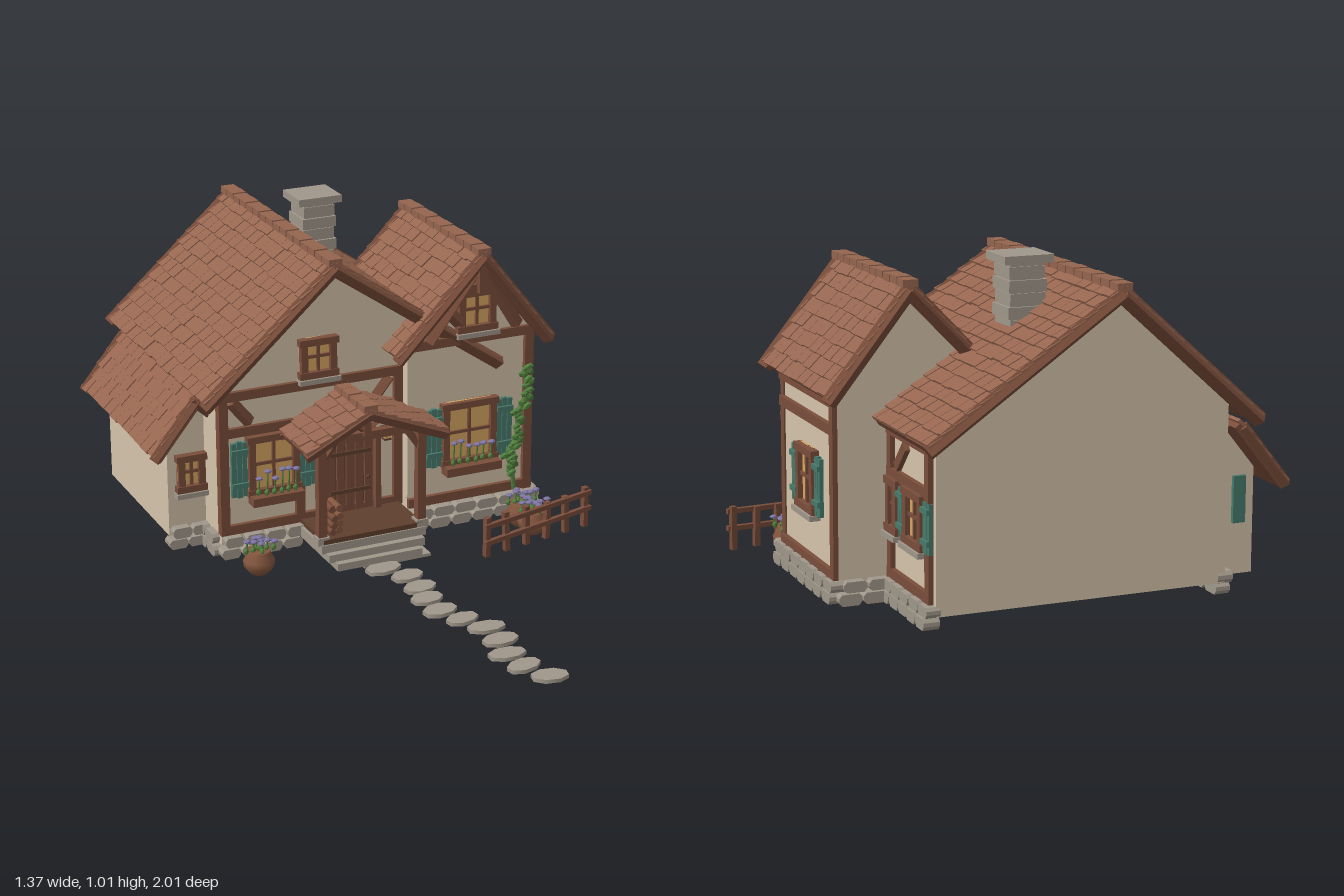
import * as THREE from 'three';
import { mergeGeometries } from 'three/addons/utils/BufferGeometryUtils.js';

const mat = (name, color) => Object.assign(new THREE.MeshStandardMaterial({ color }), { name });
const M = {
  plaster: mat('plaster', 0xd5c4aa), wood: mat('timber', 0x7a4d3a), dark: mat('darkWood', 0x5e3f2e),
  tile: mat('roofTile', 0x95654f), stone: mat('stone', 0xa0978a), teal: mat('shutterTeal', 0x477a6c),
  pane: mat('warmGlass', 0xd6a460), leaf: mat('leafGreen', 0x54823f), bloom: mat('petalPurple', 0x7d74a2),
  clay: mat('clay', 0x85573f),
};
let seed = 7;
const rnd = (a = 0, b = 1) => { seed = (seed * 16807) % 2147483647; return a + (b - a) * seed / 2147483647; };

const unitBox = new THREE.BoxGeometry(1, 1, 1);
const pebble = new THREE.IcosahedronGeometry(1, 0);
const slabStone = new THREE.CylinderGeometry(0.54, 0.54, 1, 8).rotateY(Math.PI / 8).rotateX(Math.PI / 2);
// Brick-like stone with clipped corners
const cutStone = new THREE.ExtrudeGeometry(new THREE.Shape([[-0.5, -0.15], [-0.36, -0.5], [0.36, -0.5], [0.5, -0.15],
  [0.5, 0.2], [0.38, 0.5], [-0.38, 0.5], [-0.5, 0.2]].map(q => new THREE.Vector2(...q))), { depth: 1, bevelEnabled: false }).translate(0, 0, -0.5);

function add(p, name, geo, m, pos = [0, 0, 0], scale = [1, 1, 1], rot = [0, 0, 0]) {
  const o = new THREE.Mesh(geo, m);
  o.name = name;
  o.position.set(...pos); o.scale.set(...scale); o.rotation.set(...rot);
  p.add(o);
  return o;
}
const box = (p, name, m, size, pos, rot) => add(p, name, unitBox, m, pos, size, rot);
function group(p, name, pos = [0, 0, 0], ry = 0) {
  const g = new THREE.Group();
  g.name = name; g.position.set(...pos); g.rotation.y = ry;
  p.add(g);
  return g;
}
// Square timber between two points
const Z = new THREE.Vector3(0, 0, 1);
function beam(p, a, b, w = 0.03, name = 'beam', m = M.wood) {
  const A = new THREE.Vector3(...a), B = new THREE.Vector3(...b);
  const o = box(p, name, m, [w, w, A.distanceTo(B)], A.clone().lerp(B, 0.5).toArray());
  o.quaternion.setFromUnitVectors(Z, B.sub(A).normalize());
}
// Wall block extruded from its front outline
function block(p, name, pts, z0, z1) {
  const s = new THREE.Shape(pts.map(q => new THREE.Vector2(...q)));
  add(p, name, new THREE.ExtrudeGeometry(s, { depth: z1 - z0, bevelEnabled: false }), M.plaster, [0, 0, z0]);
}

// One tiled roof slope, local +x running down from the ridge
function slope(p, name, [rx, ry], [ex, ey], z0, z1) {
  const g = group(p, name, [rx, ry, (z0 + z1) / 2]);
  const s = Math.sign(ex - rx), L = Math.hypot(ex - rx, ey - ry), D = z1 - z0;
  g.rotation.z = Math.atan2(ey - ry, ex - rx);
  box(g, 'roofBoards', M.wood, [L, 0.02, D - 0.012], [L / 2, -s * 0.016, 0]);
  const rows = Math.round(L / 0.048), rh = L / rows, cols = Math.round(D / 0.058), cw = D / cols, tiles = [];
  for (let r = 0; r < rows; r++) for (let c = 0; c <= cols; c++) {
    const shift = (r % 2) * cw / 2;
    const a = Math.max(-D / 2, -D / 2 + c * cw - shift), b = Math.min(D / 2, -D / 2 + (c + 1) * cw - shift);
    if (b - a < 0.01) continue;
    const t = new THREE.BoxGeometry(rh * 1.25, 0.01, b - a - 0.003);
    t.rotateZ(s * 0.13);
    t.translate((r + 0.38) * rh + rnd(-0.003, 0.003), s * rnd(-0.001, 0.002), (a + b) / 2);
    tiles.push(t);
  }
  add(g, 'roofTiles', mergeGeometries(tiles), M.tile);
}
function gableRoof(p, name, ridge, left, right, z0, z1, rake = 0.034) {
  const g = group(p, name);
  slope(g, 'leftSlope', ridge, left, z0, z1);
  slope(g, 'rightSlope', ridge, right, z0, z1);
  const n = Math.round((z1 - z0) / 0.055), d = (z1 - z0) / n;
  for (let i = 0; i < n; i++)
    box(g, 'ridgeCap', M.tile, [0.046, 0.022, d * 0.9], [ridge[0], ridge[1] + 0.006 + (i % 2) * 0.002, z0 + (i + 0.5) * d]);
  for (const e of [left, right]) for (const z of [z0 + 0.014, z1 - 0.014])
    beam(g, [ridge[0], ridge[1] - 0.014, z], [e[0], e[1] - 0.014, z], rake, 'rakeBeam');
}

function flowers(p, w, n, h) {
  for (let i = 0; i < n; i++) {
    const x = (i / (n - 1) - 0.5) * w, y = h * rnd(0.6, 1), z = rnd(-0.008, 0.012);
    beam(p, [x, 0, z], [x + 0.004, y, z], 0.004, 'stem', M.leaf);
    add(p, 'leafTuft', pebble, M.leaf, [x, 0.012, z], [0.009, 0.012, 0.008]);
    add(p, 'flower', pebble, M.bloom, [x + 0.004, y, z], [0.013, 0.007, 0.013]);
  }
}
// Window facing local +z, centred on its opening
function windowUnit(p, name, pos, w, h, ry = 0, { shutters = 0, planter = false } = {}) {
  const g = group(p, name, pos, ry), f = 0.022;
  box(g, 'pane', M.pane, [w, h, 0.008], [0, 0, 0.004]);
  for (const s of [-1, 1]) {
    box(g, 'frameSide', M.wood, [f, h, 0.026], [s * (w - f) / 2, 0, 0.01]);
    box(g, 'frameRail', M.wood, [w + 0.012, f, 0.03], [0, s * (h - f) / 2, 0.011]);
    if (!shutters) continue;
    const x = s * (w / 2 + shutters / 2 + 0.003);
    for (let i = 0; i < 3; i++)
      box(g, 'shutterPlank', M.teal, [shutters / 3 - 0.002, h * 0.9 + (i === 1 ? 0.008 : 0), 0.012], [x + (i - 1) * shutters / 3, -0.005, 0.01]);
    for (const y of [-1, 1]) box(g, 'shutterBatten', M.teal, [shutters, 0.016, 0.01], [x, y * h * 0.28, 0.019]);
  }
  box(g, 'mullion', M.wood, [0.01, h, 0.014], [0, 0, 0.009]);
  box(g, 'crossbar', M.wood, [w, 0.01, 0.014], [0, 0.005, 0.009]);
  if (planter) {
    box(g, 'planterBox', M.wood, [w + 0.005, 0.028, 0.045], [0, -h / 2 - 0.008, 0.035]);
    flowers(group(g, 'planterFlowers', [0, -h / 2 + 0.006, 0.036]), w * 0.72, 6, 0.085);
  } else box(g, 'sill', M.stone, [w + 0.02, 0.016, 0.035], [0, -h / 2 - 0.008, 0.016]);
}
// Two courses of rough stones along a wall foot
function footing(p, [x0, z0], [x1, z1]) {
  const L = Math.hypot(x1 - x0, z1 - z0), n = Math.max(1, Math.round(L / 0.072)), ry = -Math.atan2(z1 - z0, x1 - x0);
  for (let r = 0; r < 2; r++) for (let i = 0; i < n; i++) {
    const t = (i + 0.5 + (r ? 0.12 : -0.08)) / n;
    add(p, 'footingStone', cutStone, M.stone, [x0 + (x1 - x0) * t, 0.033 + r * 0.037, z0 + (z1 - z0) * t],
      [L / n * rnd(0.88, 0.98), rnd(0.031, 0.035), rnd(0.042, 0.05)], [0, ry, 0]);
  }
}
function pot(p, x, z) {
  const g = group(p, 'flowerPot', [x, 0, z]);
  const prof = [[0, 0.004], [0.03, 0.006], [0.048, 0.028], [0.05, 0.05], [0.036, 0.076], [0.038, 0.084], [0, 0.08]];
  add(g, 'potBody', new THREE.LatheGeometry(prof.map(q => new THREE.Vector2(...q)), 10), M.clay);
  flowers(group(g, 'potFlowers', [0, 0.076, 0]), 0.09, 5, 0.05);
  flowers(group(g, 'potFlowers', [0, 0.076, 0], Math.PI / 2), 0.06, 4, 0.045);
}

export function createModel() {
  const root = new THREE.Group();
  root.name = 'cottage';

  // Walls
  const MZ = -0.165, WZ = -0.115, AZ = -0.3, WX = 0.565, MX = 0.405, Y0 = 0.055;
  block(root, 'mainWalls', [[-0.49, Y0], [MX, Y0], [MX, 0.55], [-0.12, 0.91], [-0.49, 0.58]], -0.92, MZ);
  block(root, 'wingWalls', [[0.13, Y0], [WX, Y0], [WX, 0.64], [0.36, 0.895], [0.13, 0.65]], -0.58, WZ);
  block(root, 'annexWalls', [[-0.615, Y0], [-0.48, Y0], [-0.48, 0.5], [-0.535, 0.48], [-0.615, 0.375]], -0.85, AZ);

  // Roofs
  gableRoof(root, 'mainRoof', [-0.12, 0.945], [-0.556, 0.555], [0.455, 0.55], -1, -0.1);
  gableRoof(root, 'wingRoof', [0.365, 0.93], [0.07, 0.625], [0.608, 0.625], -0.64, -0.05);
  gableRoof(root, 'porchRoof', [-0.08, 0.52], [-0.295, 0.412], [0.185, 0.412], -0.165, 0.07, 0.026);
  const annexRoof = group(root, 'annexRoof');
  slope(annexRoof, 'annexSlope', [-0.52, 0.53], [-0.672, 0.342], -0.95, -0.25);
  for (const z of [-0.937, -0.263]) beam(annexRoof, [-0.525, 0.515, z], [-0.67, 0.334, z], 0.03, 'rakeBeam');
  beam(annexRoof, [-0.54, 0.52, -0.263], [-0.48, 0.465, -0.263], 0.026, 'rakeStub');

  // Front timber framing: x1, y1, x2, y2, z
  const frame = group(root, 'timberFrame');
  for (const [x1, y1, x2, y2, z] of [
    [-0.48, 0.09, -0.48, 0.56, MZ], [-0.48, 0.55, 0.13, 0.55, MZ], [-0.48, 0.43, 0.13, 0.43, MZ],
    [-0.48, 0.105, 0.13, 0.105, MZ], [-0.225, 0.1, -0.225, 0.43, MZ], [0.115, 0.1, 0.115, 0.55, MZ],
    [-0.45, 0.53, -0.39, 0.455, MZ], [0.09, 0.53, 0.03, 0.455, MZ],
    [0.13, 0.105, 0.56, 0.105, WZ], [0.13, 0.637, 0.57, 0.637, WZ], [0.555, 0.08, 0.555, 0.63, WZ],
    [0.365, 0.8, 0.365, 0.91, -0.07], [0.24, 0.765, 0.3, 0.7, -0.095], [0.28, 0.81, 0.45, 0.81, -0.09],
    [0.37, 0.88, 0.5, 0.67, -0.085], [0.36, 0.88, 0.19, 0.65, -0.085],
  ]) beam(frame, [x1, y1, z], [x2, y2, z]);
  // Side timber framing: x, z1, y1, z2, y2
  for (const [x, z1, y1, z2, y2] of [
    [WX, -0.565, 0.08, -0.565, 0.62], [WX, -0.115, 0.6, -0.58, 0.6], [WX, -0.115, 0.52, -0.565, 0.52],
    [WX, -0.115, 0.095, -0.565, 0.095], [MX, -0.885, 0.08, -0.885, 0.54], [MX, -0.58, 0.52, -0.9, 0.52],
    [MX, -0.58, 0.395, -0.9, 0.395], [MX, -0.58, 0.1, -0.9, 0.1], [MX, -0.65, 0.42, -0.72, 0.495], [MX, -0.6, 0.08, -0.6, 0.54],
  ]) beam(frame, [x, y1, z1], [x, y2, z2]);

  // Windows
  windowUnit(root, 'mainWindow', [-0.315, 0.31, MZ], 0.17, 0.2, 0, { shutters: 0.055, planter: true });
  windowUnit(root, 'wingWindow', [0.343, 0.322, WZ], 0.19, 0.215, 0, { shutters: 0.056, planter: true });
  windowUnit(root, 'atticWindow', [-0.16, 0.637, MZ], 0.12, 0.13);
  windowUnit(root, 'wingAtticWindow', [0.365, 0.732, WZ], 0.13, 0.14);
  windowUnit(root, 'annexWindow', [-0.54, 0.265, AZ], 0.09, 0.125);
  windowUnit(root, 'wingSideWindow', [WX, 0.335, -0.35], 0.14, 0.19, Math.PI / 2, { shutters: 0.05 });
  windowUnit(root, 'mainSideWindow', [MX, 0.305, -0.79], 0.13, 0.16, Math.PI / 2, { shutters: 0.05 });
  windowUnit(root, 'mainSideWindowNear', [MX, 0.305, -0.632], 0.08, 0.16, Math.PI / 2);
  box(root, 'annexShutter', M.teal, [0.04, 0.14, 0.014], [-0.565, 0.28, -0.855]);

  // Stone footing
  const foot = group(root, 'footing');
  for (const [a, b] of [[[-0.62, -0.295], [-0.49, -0.295]], [[-0.5, -0.155], [-0.22, -0.155]], [[0.12, -0.1], [0.585, -0.1]],
    [[0.572, -0.09], [0.572, -0.59]], [[0.57, -0.585], [0.42, -0.585]], [[0.415, -0.58], [0.415, -0.92]],
    [[-0.49, -0.17], [-0.49, -0.92]]]) footing(foot, a, b);

  // Porch
  const porch = group(root, 'porch');
  box(porch, 'deck', M.dark, [0.34, 0.016, 0.2], [-0.055, 0.092, -0.07]);
  box(porch, 'deckBase', M.stone, [0.36, 0.028, 0.2], [-0.055, 0.07, -0.065]);
  box(porch, 'middleStep', M.stone, [0.33, 0.026, 0.225], [-0.055, 0.045, -0.055]);
  box(porch, 'lowerStep', M.stone, [0.29, 0.024, 0.25], [-0.055, 0.022, -0.045]);
  box(porch, 'landing', M.stone, [0.23, 0.01, 0.09], [0.005, 0.007, 0.035]);
  for (const x of [-0.225, 0.115]) {
    box(porch, 'postBase', M.stone, [0.04, 0.025, 0.04], [x, 0.095, 0.01]);
    beam(porch, [x, 0.1, 0.01], [x, 0.42, 0.01], 0.028, 'porchPost');
    beam(porch, [x, 0.415, 0.02], [x, 0.415, MZ], 0.025, 'porchPlate');
    beam(porch, [x, 0.35, 0.01], [x + (x < 0 ? 0.05 : -0.05), 0.42, 0.01], 0.018, 'porchBrace');
  }
  beam(porch, [-0.25, 0.425, 0.015], [0.15, 0.425, 0.015], 0.026, 'porchTie');
  beam(porch, [-0.08, 0.43, 0.03], [-0.08, 0.51, 0.03], 0.024, 'porchKingPost');
  for (const s of [-1, 1]) beam(porch, [-0.08 + s * 0.01, 0.45, 0.03], [-0.08 + s * 0.06, 0.485, 0.03], 0.015, 'kingBrace');

  // Arched plank door
  const door = group(root, 'door', [-0.055, 0.1, MZ]);
  const arch = (w, top) => {
    const s = new THREE.Shape();
    s.moveTo(-w, 0); s.lineTo(w, 0); s.lineTo(w, top - w * 0.7);
    s.bezierCurveTo(w * 0.9, top, -w * 0.9, top, -w, top - w * 0.7);
    return s;
  };
  const surround = arch(0.1, 0.32);
  surround.holes.push(arch(0.082, 0.3));
  add(door, 'doorFrame', new THREE.ExtrudeGeometry(surround, { depth: 0.035, bevelEnabled: false }), M.wood);
  add(door, 'doorBack', new THREE.ExtrudeGeometry(arch(0.083, 0.301), { depth: 0.008, bevelEnabled: false }), M.dark);
  for (let i = -2; i <= 2; i++) {
    const h = 0.275 - i * i * 0.009;
    box(door, 'doorPlank', M.wood, [0.026, h, 0.01], [i * 0.032, h / 2, 0.011]);
  }
  for (const y of [0.07, 0.2]) box(door, 'doorStrap', M.dark, [0.14, 0.012, 0.006], [0, y, 0.018]);
  add(door, 'doorKnob', pebble, M.dark, [0.06, 0.11, 0.022], [0.008, 0.008, 0.008]);

  // Lantern
  const lantern = group(root, 'lantern', [0.066, 0.35, -0.135]);
  box(lantern, 'lanternGlass', M.pane, [0.02, 0.03, 0.02], [0, 0, 0]);
  box(lantern, 'lanternCap', M.dark, [0.032, 0.008, 0.032], [0, 0.019, 0]);
  box(lantern, 'lanternFoot', M.dark, [0.024, 0.006, 0.024], [0, -0.017, 0]);
  beam(lantern, [0, 0.03, 0.004], [0, 0.03, -0.03], 0.006, 'lanternArm', M.dark);

  // Firewood stack
  const log = new THREE.CylinderGeometry(0.012, 0.012, 0.07, 8).rotateX(Math.PI / 2);
  for (let i = 0; i < 8; i++)
    add(root, 'firewood', log, i % 2 ? M.clay : M.wood, [-0.184 + (i % 2) * 0.018, 0.112 + Math.floor(i / 2) * 0.025 + (i % 2) * 0.006, -0.02 + rnd(-0.01, 0.01)]);

  // Chimney
  const chimney = group(root, 'chimney', [0.042, 0, -0.655]);
  for (let i = 0; i < 7; i++) {
    const w = 0.108 + (i % 2) * 0.008;
    box(chimney, 'chimneyCourse', M.stone, [w, 0.034, w], [rnd(-0.002, 0.002), 0.73 + i * 0.038, 0]);
  }
  box(chimney, 'chimneyCore', M.stone, [0.1, 0.29, 0.1], [0, 0.84, 0]);
  box(chimney, 'chimneyCap', M.stone, [0.15, 0.024, 0.135], [0, 0.996, 0]);

  // Stepping stones
  [[-0.06, 0.11], [-0.015, 0.19], [-0.015, 0.28], [-0.03, 0.36], [-0.03, 0.45], [0.005, 0.53], [0.045, 0.61],
    [0.045, 0.7], [0.02, 0.79], [0.03, 0.875], [0.068, 0.962]].forEach(([x, z]) =>
    add(root, 'steppingStone', slabStone, M.stone, [x, 0.006, z], [rnd(0.1, 0.115), rnd(0.064, 0.072), 0.012], [-Math.PI / 2, 0, rnd(-0.25, 0.25)]));

  // Fence
  const fence = group(root, 'fence', [0.465, 0, 0.138], 0.19);
  for (let i = 0; i < 6; i++) {
    const x = -0.2 + i * 0.08;
    beam(fence, [x, 0.012, 0], [x + rnd(-0.01, 0.01), rnd(0.135, 0.15), 0], 0.018, 'fencePost');
  }
  beam(fence, [-0.215, 0.062, 0.01], [0.215, 0.078, 0.01], 0.015, 'fenceRail');
  beam(fence, [-0.215, 0.118, 0.01], [0.215, 0.132, 0.01], 0.015, 'fenceRail');

  // Flower pots
  for (const [x, z] of [[-0.42, -0.03], [0.49, -0.01], [0.495, 0.06]]) pot(root, x, z);

  // Climbing vine
  const vine = group(root, 'vine');
  const curve = new THREE.CatmullRomCurve3([[0.5, 0.1], [0.49, 0.17], [0.475, 0.23], [0.505, 0.28], [0.51, 0.36], [0.54, 0.43], [0.53, 0.52]]
    .map(([x, y]) => new THREE.Vector3(x, y, -0.085)));
  add(vine, 'vineStem', new THREE.TubeGeometry(curve, 24, 0.008, 5), M.leaf);
  for (let i = 0; i < 36; i++) {
    const q = curve.getPoint(0.15 + 0.85 * i / 35);
    add(vine, 'vineLeaf', pebble, M.leaf, [q.x + rnd(-0.016, 0.016), q.y, q.z + rnd(0, 0.014)], [rnd(0.015, 0.022), 0.012, 0.009], [0, 0, rnd(-0.8, 0.8)]);
  }
  return root;
}
